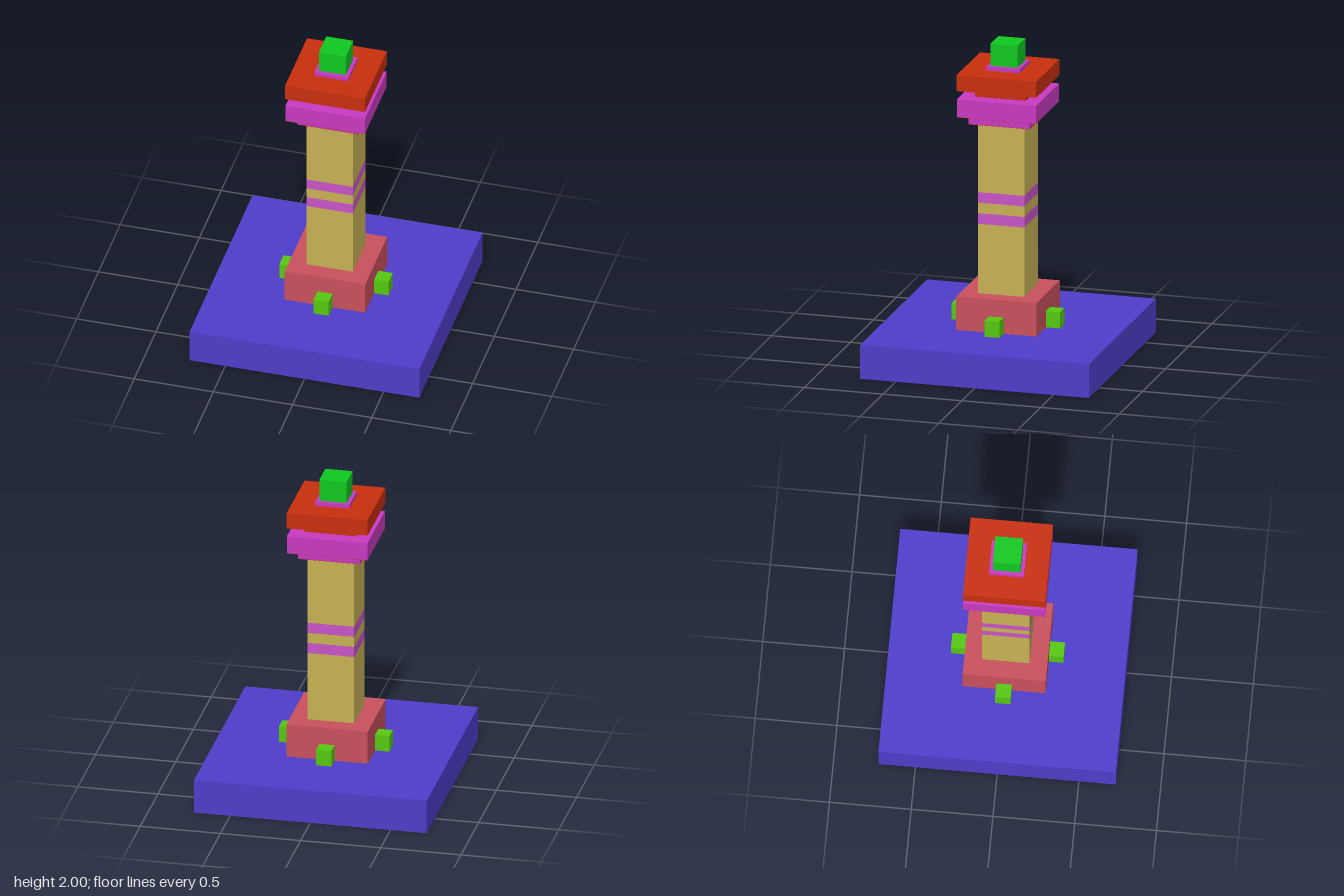
import * as THREE from 'three';

const mat = (color) => new THREE.MeshStandardMaterial({ color });
const mats = {
  blue: mat(0x4f3dcb), rose: mat(0xc9505c), sand: mat(0xc8b255), band: mat(0xc955c9),
  magenta: mat(0xc93ac2), red: mat(0xc92f0e), green: mat(0x0fc920), lime: mat(0x55c90f),
};

export function createModel() {
  const model = new THREE.Group();
  model.name = 'pillarMonument';

  // Square block of half width h, from height y0 to y1
  const block = (name, material, h, y0, y1) => {
    const mesh = new THREE.Mesh(new THREE.BoxGeometry(2 * h, y1 - y0, 2 * h), mats[material]);
    mesh.name = name;
    mesh.position.y = (y0 + y1) / 2;
    model.add(mesh);
    return mesh;
  };

  // Base and pedestal
  block('base', 'blue', 0.726, 0, 0.215);
  block('pedestal', 'rose', 0.254, 0.215, 0.427);

  // Shaft, with two flush bands
  block('lowerShaft', 'sand', 0.146, 0.427, 0.868);
  block('lowerBand', 'band', 0.146, 0.868, 0.935);
  block('middleShaft', 'sand', 0.146, 0.935, 1.002);
  block('upperBand', 'band', 0.146, 1.002, 1.069);
  block('upperShaft', 'sand', 0.146, 1.069, 1.511);

  // Capital, with red undersides
  block('collarSoffit', 'red', 0.193, 1.509, 1.511);
  block('collar', 'magenta', 0.193, 1.511, 1.566);
  block('capitalSoffit', 'red', 0.251, 1.565, 1.567);
  block('capital', 'magenta', 0.251, 1.567, 1.679);
  block('neck', 'red', 0.161, 1.679, 1.732);
  block('topSlab', 'red', 0.252, 1.732, 1.834);

  // Finial
  block('finialPlinth', 'magenta', 0.107, 1.834, 1.86);
  block('finial', 'green', 0.085, 1.86, 2);

  // One lug on each side of the pedestal
  for (let i = 0; i < 4; i++) {
    const a = (i * Math.PI) / 2;
    const lug = block('lug', 'lime', 0.0475, 0.215, 0.318);
    lug.position.x = 0.297 * Math.cos(a);
    lug.position.z = 0.297 * Math.sin(a);
    lug.rotation.y = -a;
  }

  return model;
}
